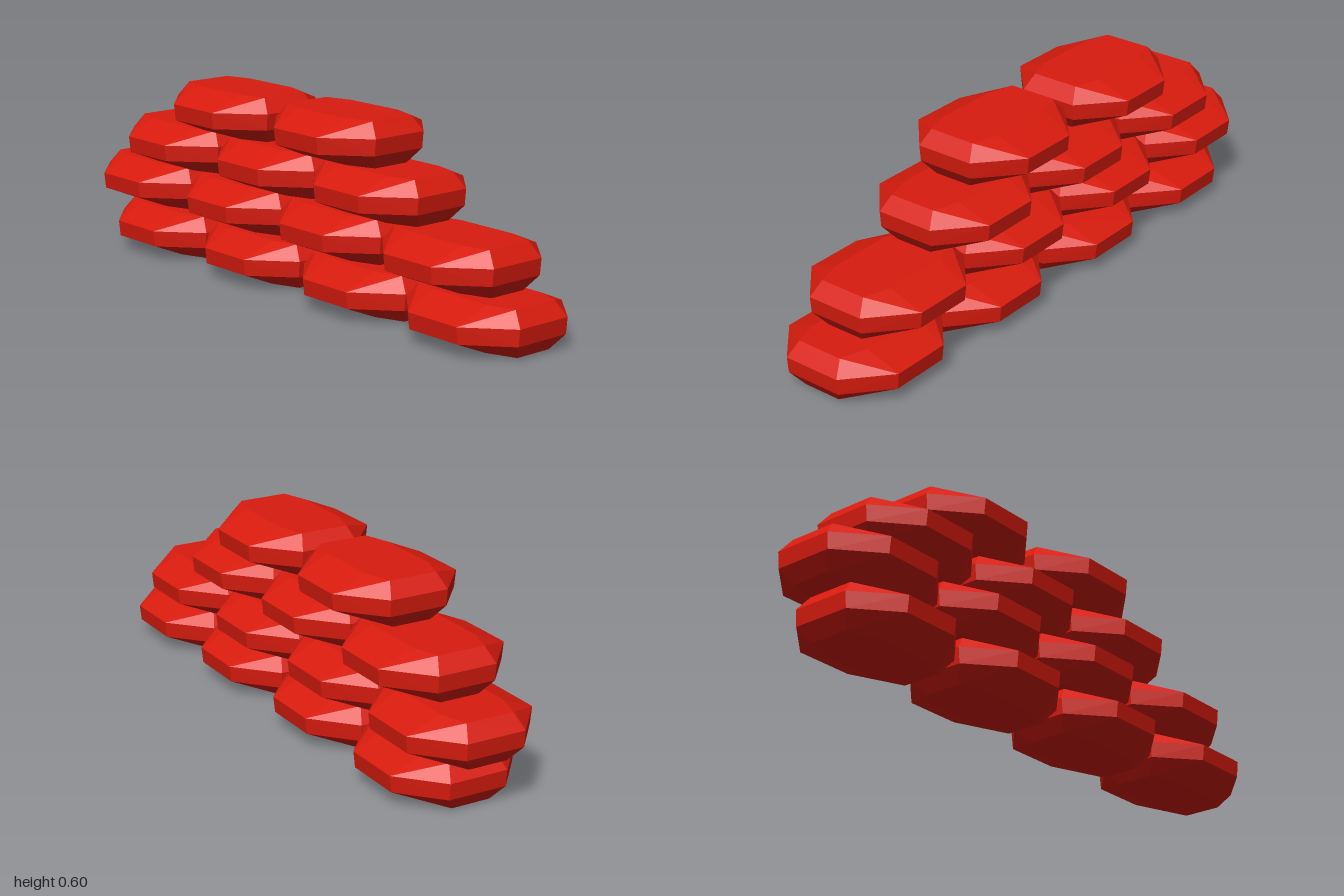
import * as THREE from 'three';
import { ConvexGeometry } from 'three/addons/geometries/ConvexGeometry.js';

// Octagonal rings of one bag, bottom to top:
// height, half width, half length, half of the end edge, half of the side edge
const RINGS = [
  [0.0, 0.1, 0.195, 0.065, 0.1],
  [0.047, 0.212, 0.23, 0.098, 0.1],
  [0.1, 0.218, 0.235, 0.098, 0.1],
  [0.147, 0.107, 0.198, 0.08, 0.11],
];

// Rows of the stack: base height and the z centre of every bag
const ROWS = [
  { y: 0.0, z: [0.765, 0.292, -0.2, -0.684] },
  { y: 0.154, z: [0.657, 0.18, -0.292, -0.765] },
  { y: 0.305, z: [0.343, -0.129, -0.614] },
  { y: 0.452, z: [0.155, -0.357] },
];

function bagGeometry() {
  const points = [];
  for (const [y, width, length, end, side] of RINGS) {
    for (const sx of [-1, 1]) {
      for (const sz of [-1, 1]) {
        points.push(new THREE.Vector3(sx * end, y, sz * length));
        points.push(new THREE.Vector3(sx * width, y, sz * side));
      }
    }
  }
  return new ConvexGeometry(points);
}

export function createModel() {
  const model = new THREE.Group();
  model.name = 'sandbagWall';
  const geometry = bagGeometry();
  const material = new THREE.MeshStandardMaterial({ color: 0xd81b0e, flatShading: true });

  // Stack the bags row by row
  ROWS.forEach((row, r) => {
    const group = new THREE.Group();
    group.name = `sandbagRow${r + 1}`;
    group.position.y = row.y;
    row.z.forEach((z, i) => {
      const bag = new THREE.Mesh(geometry, material);
      bag.name = `sandbag${i + 1}`;
      bag.position.z = z;
      group.add(bag);
    });
    model.add(group);
  });
  return model;
}
